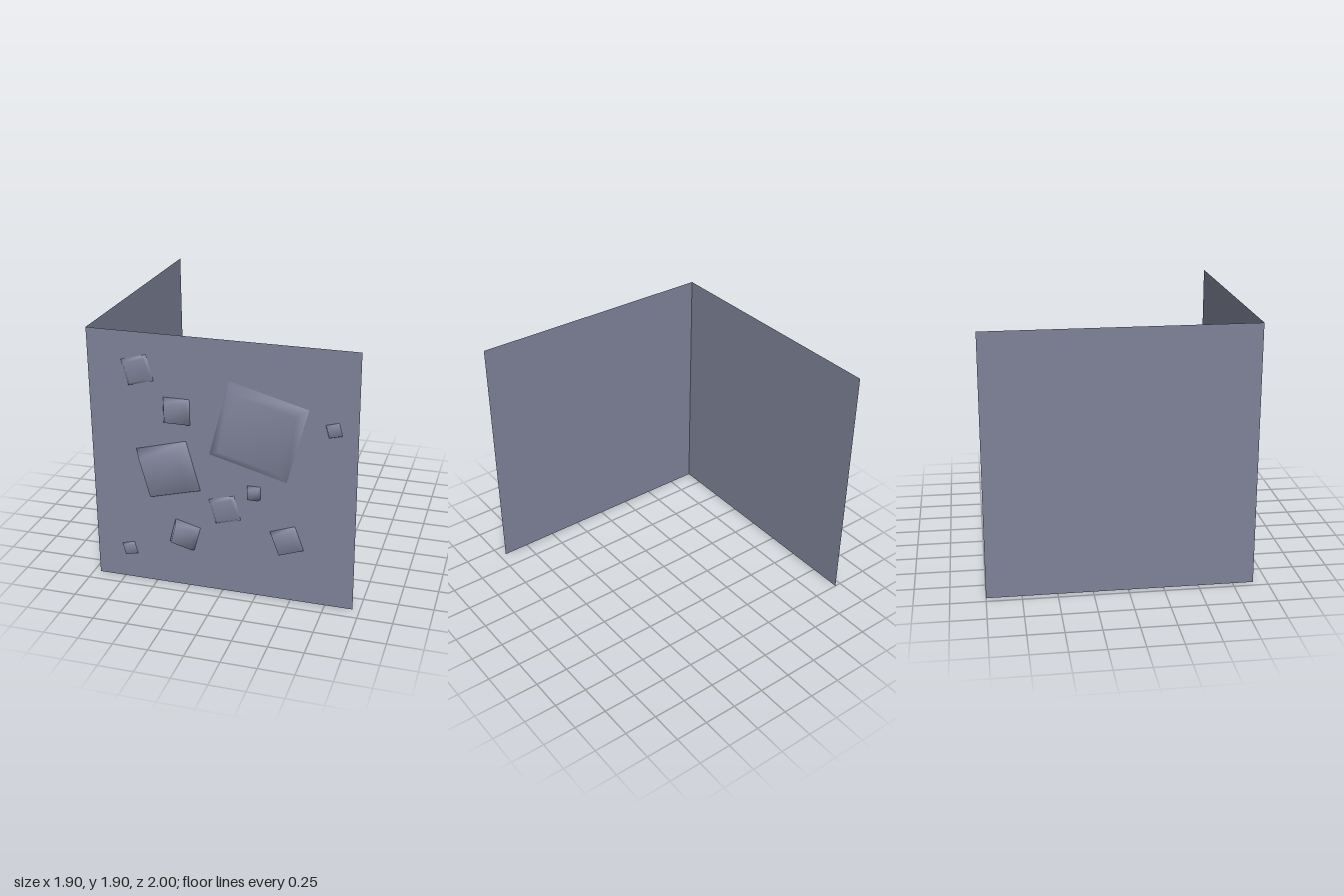
import * as THREE from 'three';

const TAPER = 0.77;

// Raised stud: a square frustum with shared corners (soft shading) and an open back
function studGeometry(size, depth) {
  const corners = [];
  for (const [half, z] of [[size / 2, 0], [size / 2 * TAPER, depth]]) {
    corners.push(-half, -half, z, half, -half, z, half, half, z, -half, half, z);
  }
  const index = [4, 5, 6, 4, 6, 7];
  for (let i = 0; i < 4; i++) {
    const j = (i + 1) % 4;
    index.push(i, j, j + 4, i, j + 4, i + 4);
  }
  const geometry = new THREE.BufferGeometry();
  geometry.setAttribute('position', new THREE.Float32BufferAttribute(corners, 3));
  geometry.setIndex(index);
  geometry.computeVertexNormals();
  return geometry;
}

export function createModel() {
  const group = new THREE.Group();
  const stone = new THREE.MeshStandardMaterial({ color: 0x7e8298, side: THREE.DoubleSide });
  stone.name = 'blue grey stone';

  // Two thin walls meeting at a corner
  const frontWall = new THREE.Mesh(new THREE.PlaneGeometry(1.9, 1.9), stone);
  frontWall.name = 'frontWall';
  frontWall.position.set(0, 0.95, 0.9);
  const sideWall = new THREE.Mesh(new THREE.PlaneGeometry(1.9, 1.9), stone);
  sideWall.name = 'sideWall';
  sideWall.rotation.y = -Math.PI / 2;
  sideWall.position.set(-0.95, 0.95, -0.05);
  group.add(frontWall, sideWall);

  // Studs on the front wall: x, y, size, depth, tilt in degrees
  const studs = [
    [0.264, 1.265, 0.57, 0.05, -15],
    [-0.387, 0.907, 0.38, 0.1, 15],
    [-0.59, 1.627, 0.19, 0.025, 15],
    [-0.315, 1.355, 0.19, 0.05, 0],
    [0.783, 1.34, 0.095, 0.025, 15],
    [0.235, 0.813, 0.095, 0.05, 0],
    [0.022, 0.65, 0.19, 0.025, 15],
    [-0.277, 0.411, 0.19, 0.05, -15],
    [0.47, 0.47, 0.19, 0.05, 20],
    [-0.702, 0.236, 0.095, 0.025, 15],
  ];
  studs.forEach(([x, y, size, depth, tilt], i) => {
    const stud = new THREE.Mesh(studGeometry(size, depth), stone);
    stud.name = `stud${i + 1}`;
    stud.position.set(x, y, 0.9);
    stud.rotation.z = THREE.MathUtils.degToRad(tilt);
    group.add(stud);
  });

  return group;
}
